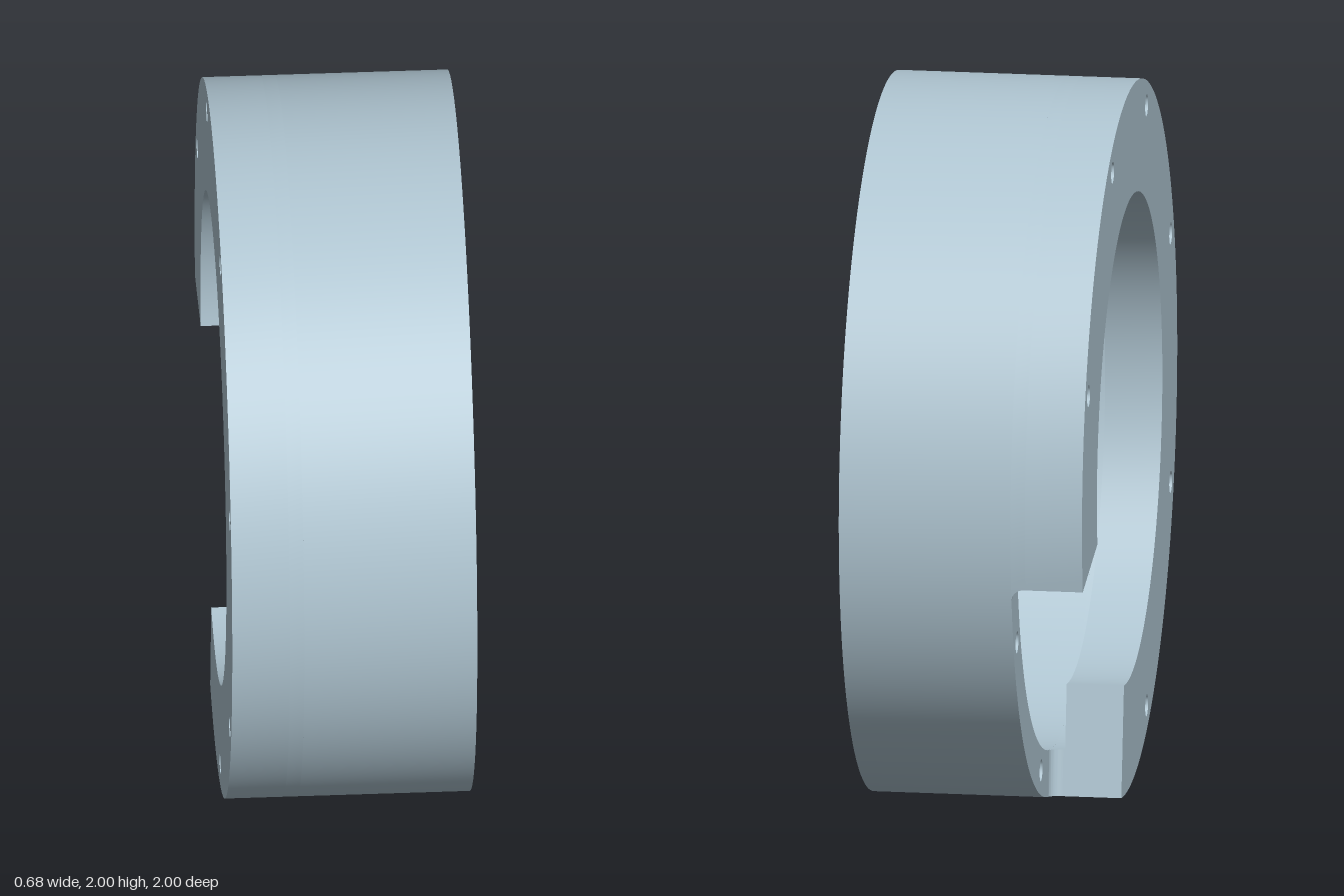
import * as THREE from 'three';
import { toCreasedNormals } from 'three/addons/utils/BufferGeometryUtils.js';

const RAD = Math.PI / 180;
const OUTER = 1, BORE = 0.87, LIP = 0.687;         // radii
const BACK = -0.34, STEP = -0.18, FLOOR = -0.14, FRONT = 0.34; // stations along the axis
const START = -10 * RAD, END = 280 * RAD;          // solid arc beside the notch
const FILLET = 0.035;

const metal = new THREE.MeshStandardMaterial({ color: 0xaec4d0 });
metal.name = 'paleBlueGrey';

// Eight bolt holes, optionally only those inside the solid arc
function boltHoles(all) {
  const holes = [];
  for (let i = 0; i < 8; i++) {
    const deg = 22.5 + 45 * i;
    if (!all && deg > 280 && deg < 350) continue;
    const cx = 0.933 * Math.cos(deg * RAD), cy = 0.933 * Math.sin(deg * RAD);
    const pts = [];
    for (let k = 0; k <= 20; k++) {
      const t = -k / 20 * Math.PI * 2;
      pts.push(new THREE.Vector2(cx + 0.031 * Math.cos(t), cy + 0.031 * Math.sin(t)));
    }
    holes.push(new THREE.Path(pts));
  }
  return holes;
}

function makeMesh(name, geometry) {
  const mesh = new THREE.Mesh(toCreasedNormals(geometry, 0.6), metal);
  mesh.name = name;
  return mesh;
}

function slab(name, shape, from, to) {
  const geo = new THREE.ExtrudeGeometry(shape, { depth: to - from, bevelEnabled: false, curveSegments: 72 });
  geo.translate(0, 0, from);
  return makeMesh(name, geo);
}

function fullRing(inner) {
  const shape = new THREE.Shape().absarc(0, 0, OUTER, 0, Math.PI * 2, false);
  shape.holes.push(new THREE.Path().absarc(0, 0, inner, 0, Math.PI * 2, true), ...boltHoles(true));
  return shape;
}

function partRing(inner) {
  const shape = new THREE.Shape().absarc(0, 0, OUTER, START, END, false);
  shape.absarc(0, 0, inner, END, START, true);
  shape.closePath();
  shape.holes.push(...boltHoles(false));
  return shape;
}

// Concave fillet between a notch end and the notch floor
function notchFillet(name, angle, side) {
  const shape = new THREE.Shape();
  shape.moveTo(0, 0);
  shape.lineTo(0, -FILLET);
  shape.absarc(FILLET, -FILLET, FILLET, Math.PI, Math.PI / 2, true);
  shape.closePath();
  const geo = new THREE.ExtrudeGeometry(shape, { depth: OUTER - BORE, bevelEnabled: false, curveSegments: 8 });
  const c = Math.cos(angle), s = Math.sin(angle);
  const frame = new THREE.Matrix4().makeBasis(
    new THREE.Vector3(-s * side, c * side, 0),
    new THREE.Vector3(0, 0, 1),
    new THREE.Vector3(c * side, s * side, 0));
  const r = side > 0 ? BORE : OUTER;
  frame.setPosition(c * r, s * r, FLOOR);
  geo.applyMatrix4(frame);
  return makeMesh(name, geo);
}

export function createModel() {
  const model = new THREE.Group();
  model.name = 'notchedRingHousing';

  const ring = new THREE.Group();
  ring.name = 'ring';
  ring.add(
    slab('mainWall', fullRing(BORE), FLOOR, FRONT),
    slab('notchedWall', partRing(BORE), STEP, FLOOR),
    slab('innerLip', partRing(LIP), BACK, STEP),
    notchFillet('upperNotchFillet', START, -1),
    notchFillet('lowerNotchFillet', END, 1));

  // Lay the ring axis along x and stand it on the ground
  ring.rotation.y = Math.PI / 2;
  ring.position.y = 1;
  model.add(ring);
  return model;
}
